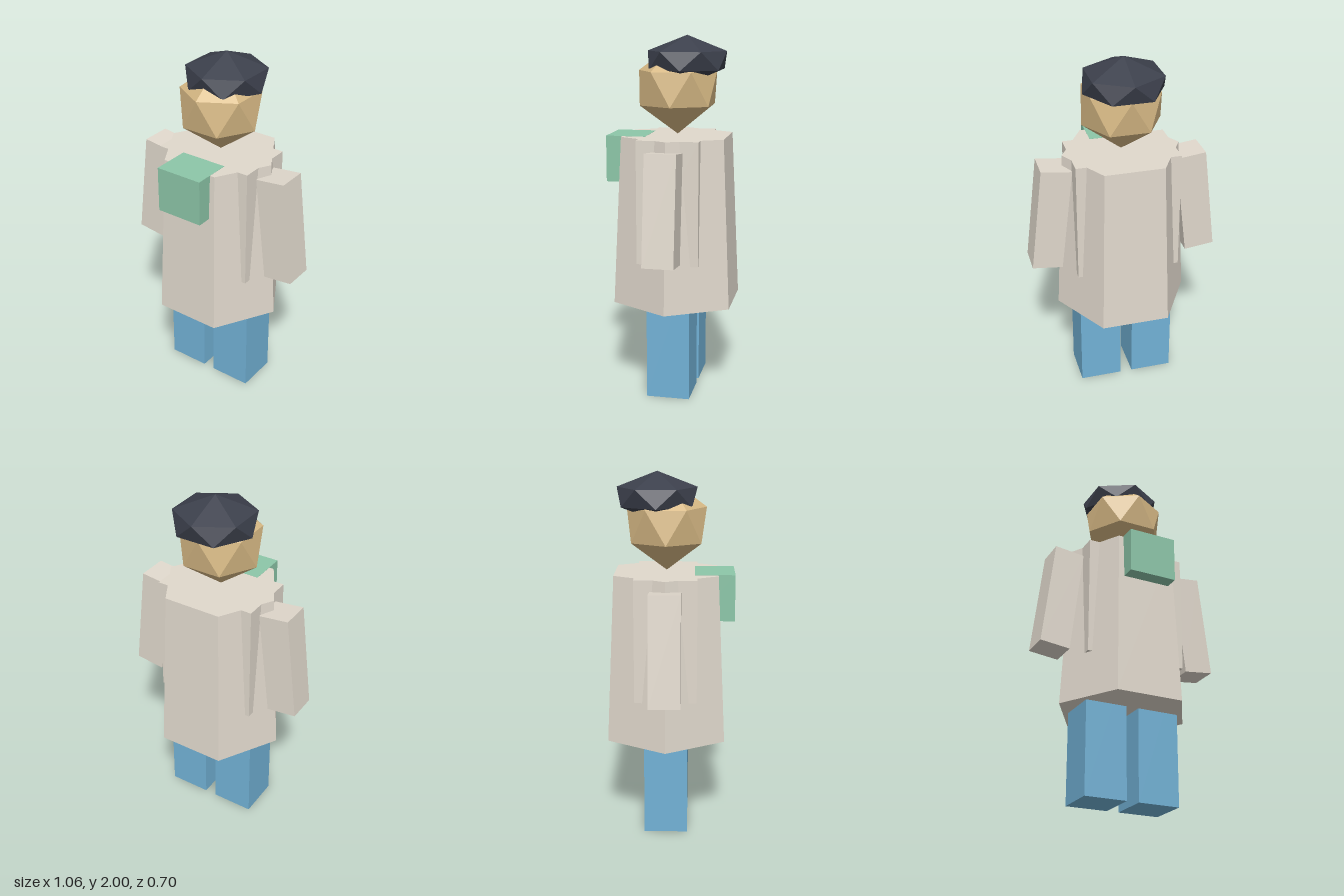
import * as THREE from 'three';
import { ConvexGeometry } from 'three/addons/geometries/ConvexGeometry.js';

const paint = (color) => new THREE.MeshStandardMaterial({ color, flatShading: true });

// Low-poly gem: two staggered six-sided rings closed by a point above and below.
function gemGeometry(radius, ringY, tipY) {
  const points = [new THREE.Vector3(0, tipY, 0), new THREE.Vector3(0, -tipY, 0)];
  for (let i = 0; i < 6; i++) {
    const a = (i * Math.PI) / 3;
    const b = a + Math.PI / 6;
    points.push(new THREE.Vector3(radius * Math.sin(a), ringY, radius * Math.cos(a)));
    points.push(new THREE.Vector3(radius * Math.sin(b), -ringY, radius * Math.cos(b)));
  }
  return new ConvexGeometry(points);
}

export function createModel() {
  const model = new THREE.Group();
  const cloth = paint(0xe0d8cc);
  const denim = paint(0x72b2d6);
  const skin = paint(0xd6b884);
  const dark = paint(0x3c404c);
  const green = paint(0x8cc6a8);
  const midZ = -0.026;

  function add(name, geometry, material, x, y, z) {
    const mesh = new THREE.Mesh(geometry, material);
    mesh.name = name;
    mesh.position.set(x, y, z);
    model.add(mesh);
    return mesh;
  }

  // Flared six-sided coat with its corners to the sides
  const coat = new THREE.CylinderGeometry(0.328, 0.377, 0.94, 6);
  coat.rotateY(Math.PI / 6);
  add('coat', coat, cloth, 0, 0.985, midZ);

  // Boxy torso whose edges show through the coat sides
  add('torso', new THREE.BoxGeometry(0.58, 0.68, 0.34), cloth, 0, 1.115, midZ);

  // Scarf block at the collar
  add('scarf', new THREE.BoxGeometry(0.272, 0.256, 0.22), green, 0, 1.328, 0.24);

  // Arms lean outward; legs run up inside the coat
  for (const [side, s] of [['left', 1], ['right', -1]]) {
    const arm = add(side + 'Arm', new THREE.BoxGeometry(0.17, 0.595, 0.17), cloth, s * 0.41, 1.108, midZ);
    arm.rotation.z = s * 0.118;
    add(side + 'Leg', new THREE.BoxGeometry(0.238, 0.78, 0.24), denim, s * 0.154, 0.39, midZ);
  }

  // Head, and the cap as a flattened copy set slightly back
  add('head', gemGeometry(0.219, 0.093, 0.255), skin, 0, 1.715, midZ);
  add('cap', gemGeometry(0.22, 0.05, 0.135), dark, 0, 1.865, -0.078);

  return model;
}
